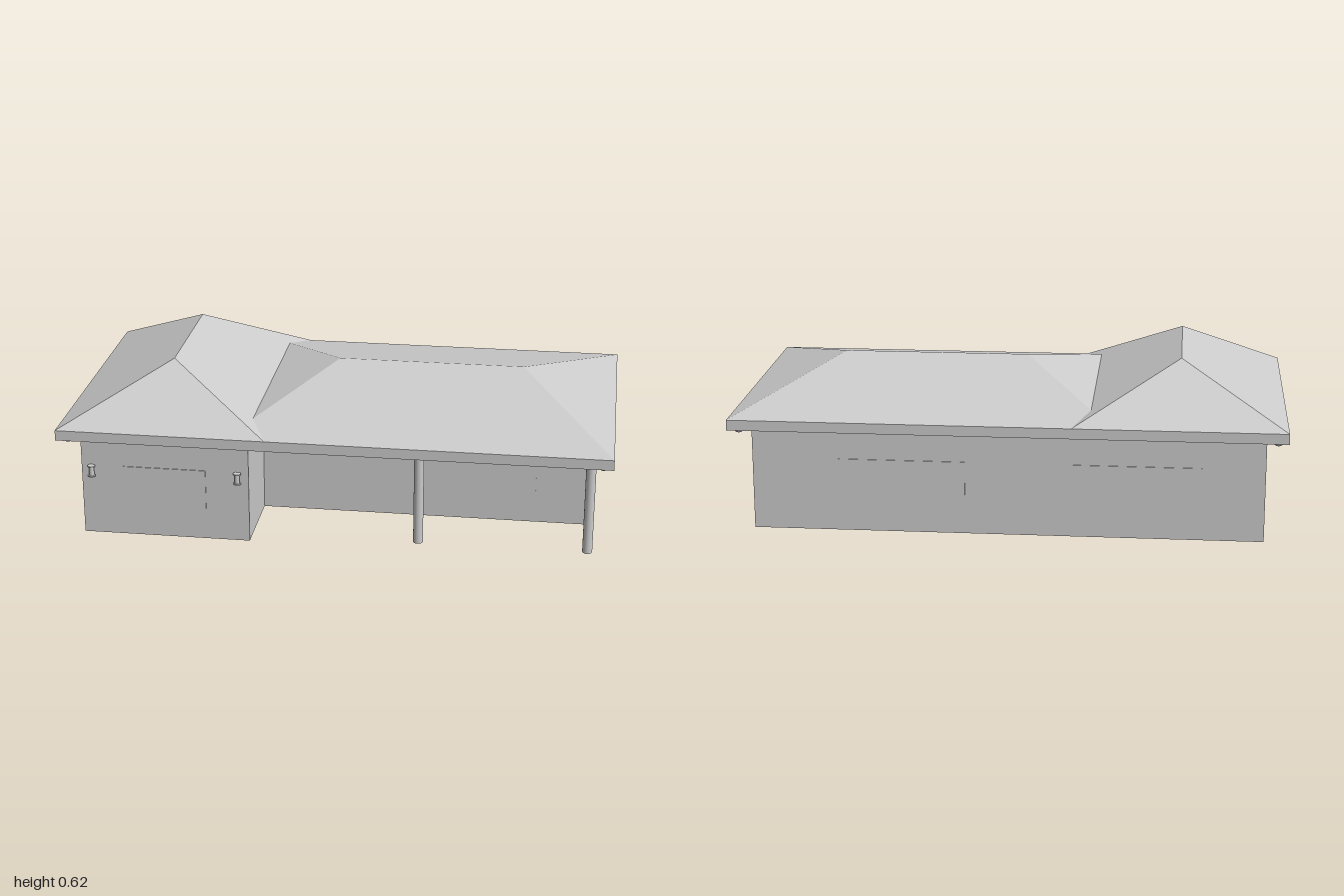
import * as THREE from 'three';

export function createModel() {
  const house = new THREE.Group();
  house.name = 'house';
  const grey = new THREE.MeshStandardMaterial({ color: 0xcccccc });
  grey.name = 'plain grey';

  const add = (name, geometry, x = 0, y = 0, z = 0, parent = house) => {
    const mesh = new THREE.Mesh(geometry, grey);
    mesh.name = name;
    mesh.position.set(x, y, z);
    parent.add(mesh);
    return mesh;
  };

  // Hollow L-shaped walls, open at the bottom; the inner outline runs the other way round
  const thickness = 0.022;
  const outline = (t) => [
    [-0.925 + t, -0.475 + t], [0.923 - t, -0.475 + t], [0.923 - t, 0.168 - t],
    [-0.306 - t, 0.168 - t], [-0.306 - t, 0.475 - t], [-0.925 + t, 0.475 - t],
  ].map(([x, z]) => new THREE.Vector2(x, -z)).reverse();
  const plan = new THREE.Shape(outline(0));
  plan.holes.push(new THREE.Path(outline(thickness).reverse()));
  const wallGeometry = new THREE.ExtrudeGeometry(plan, { depth: 0.386, bevelEnabled: false });
  wallGeometry.rotateX(-Math.PI / 2);
  add('walls', wallGeometry);

  // Flat eaves slab with fascia
  const eavesTop = 0.423, eavesZ = 0.538;
  add('eaves', new THREE.BoxGeometry(2, eavesTop - 0.385, eavesZ * 2), 0, (eavesTop + 0.385) / 2, 0);

  // Hipped roof: rectangular base and a ridge between points a and b
  const hip = (x0, x1, a, b, alongX) => {
    const p = [x0, eavesTop, eavesZ], q = [x1, eavesTop, eavesZ];
    const r = [x1, eavesTop, -eavesZ], s = [x0, eavesTop, -eavesZ];
    const faces = alongX
      ? [[p, q, b], [p, b, a], [q, r, b], [r, s, a], [r, a, b], [s, p, a]]
      : [[p, q, a], [q, r, b], [q, b, a], [r, s, b], [s, p, a], [s, a, b]];
    const g = new THREE.BufferGeometry();
    g.setAttribute('position', new THREE.Float32BufferAttribute(faces.flat(2), 3));
    g.computeVertexNormals();
    return g;
  };
  add('wingRoof', hip(-1, -0.235, [-0.617, 0.615, 0.25], [-0.617, 0.615, -0.25], false));
  add('mainRoof', hip(-0.385, 1, [-0.037, 0.553, 0], [0.653, 0.553, 0], true));

  // Porch columns
  for (const x of [0.306, 0.921]) {
    add('porchColumn', new THREE.CylinderGeometry(0.018, 0.018, 0.383, 24), x, 0.1945, 0.405);
  }

  // Front and back window panels, slightly proud of both wall faces: x range, y range, outer wall z
  const proud = 0.003;
  const windows = [
    [-0.77, -0.465, 0.12, 0.27, 0.475],
    [0.49, 0.72, 0.12, 0.31, 0.168],
    [0.15, 0.61, 0.12, 0.27, -0.475],
    [-0.7, -0.24, 0.12, 0.27, -0.475],
  ];
  for (const [x0, x1, y0, y1, z] of windows) {
    add('window', new THREE.BoxGeometry(x1 - x0, y1 - y0, thickness + proud * 2),
      (x0 + x1) / 2, (y0 + y1) / 2, z - Math.sign(z) * thickness / 2);
  }

  // End wall windows, thin plates on the outside
  for (const [side, x] of [[-1, -0.925], [1, 0.923]]) {
    add('sideWindow', new THREE.BoxGeometry(0.009, 0.152, 0.232), x + side * 0.001, 0.195, side * -0.153);
  }

  // Wall lamps on the front of the wing
  for (const x of [-0.886, -0.346]) {
    const lamp = new THREE.Group();
    lamp.name = 'wallLamp';
    lamp.position.set(x, 0.25, 0.486);
    house.add(lamp);
    add('lampBody', new THREE.CylinderGeometry(0.0095, 0.0095, 0.038, 16), 0, 0, 0, lamp);
    for (const y of [-0.019, 0.019]) {
      add('lampCap', new THREE.CylinderGeometry(0.014, 0.014, 0.004, 16), 0, y, 0, lamp);
    }
  }

  // Small domed lights under the corners of the eaves
  const dome = new THREE.SphereGeometry(0.018, 20, 8, 0, Math.PI * 2, Math.PI / 2, Math.PI / 2);
  dome.scale(1, 0.75, 1);
  for (const x of [-0.963, 0.963]) {
    for (const z of [-0.5, 0.5]) {
      add('eavesLightRim', new THREE.CylinderGeometry(0.023, 0.023, 0.004, 20), x, 0.383, z);
      add('eavesLightDome', dome, x, 0.382, z);
    }
  }

  return house;
}
